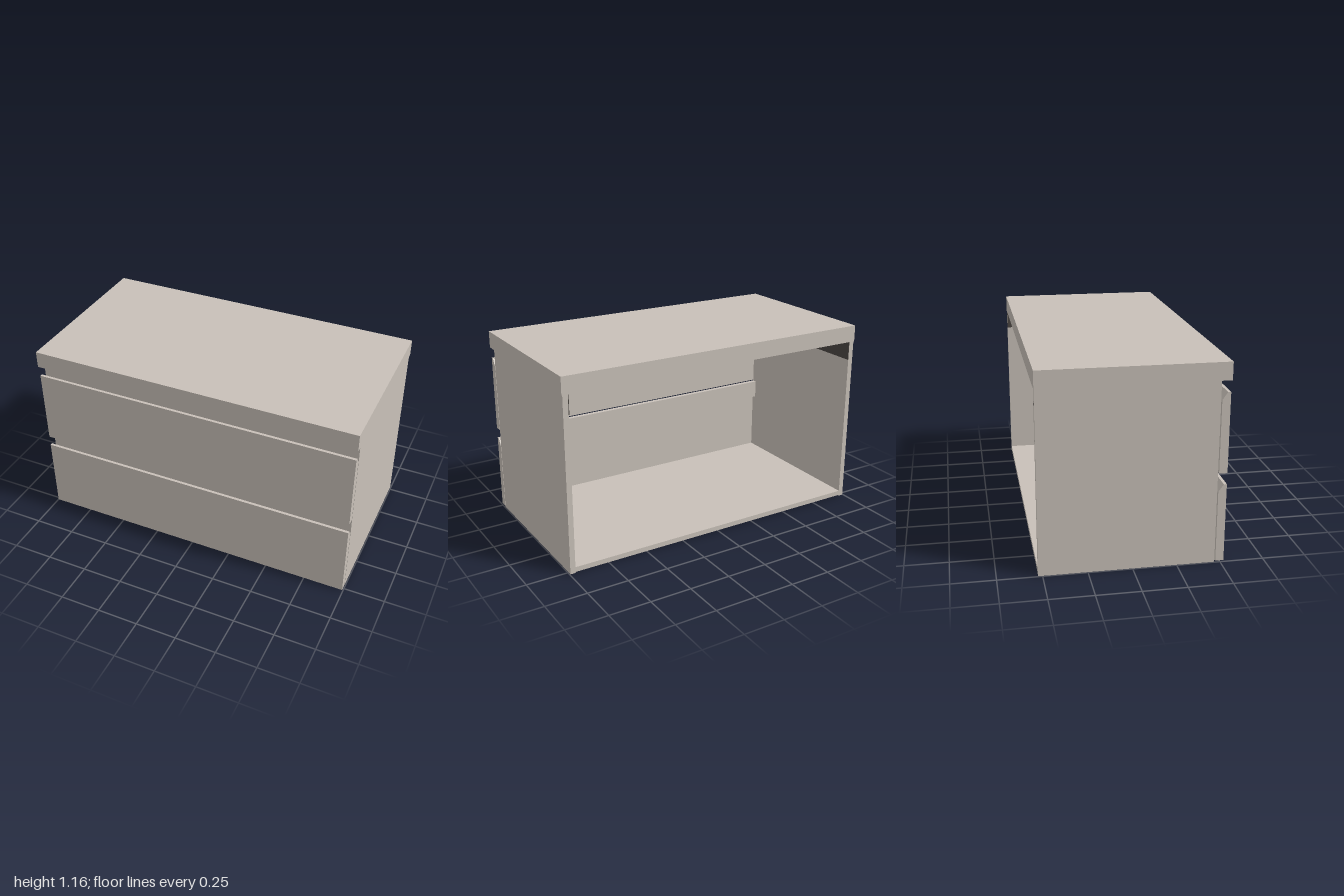
import * as THREE from 'three';

export function createModel() {
  const group = new THREE.Group();
  const beige = new THREE.MeshStandardMaterial({ color: 0xc8c0b8 });
  beige.name = 'beige lacquer';
  const dark = new THREE.MeshStandardMaterial({ color: 0x4a4541 });
  dark.name = 'dark runner';

  // Box given by its minimum and maximum corners
  function box(name, [x0, y0, z0], [x1, y1, z1], material = beige) {
    const mesh = new THREE.Mesh(new THREE.BoxGeometry(x1 - x0, y1 - y0, z1 - z0), material);
    mesh.position.set((x0 + x1) / 2, (y0 + y1) / 2, (z0 + z1) / 2);
    mesh.name = name;
    group.add(mesh);
  }

  const outer = 0.995, inner = 0.963, back = -0.524, front = 0.468, top = 1.06;

  // Worktop overhanging the front
  box('worktop', [-1, top, -0.525], [1, 1.162, 0.525]);

  // Open-backed carcass
  box('leftSide', [inner, 0, back], [outer, top, front]);
  box('rightSide', [-outer, 0, back], [-inner, top, front]);
  box('bottomPanel', [-inner, 0.006, back], [inner, 0.036, front]);

  // Rails behind the finger gaps
  box('topRail', [-inner, 0.945, 0.438], [inner, top, front]);
  box('middleRail', [-inner, 0.415, 0.438], [inner, 0.53, front]);

  // Dark strips along the tops of the inner walls
  box('leftStrip', [inner - 0.004, 0.945, back], [inner, top, 0.438], dark);
  box('rightStrip', [-inner, 0.945, back], [-inner + 0.004, top, 0.438], dark);

  // Drawer fronts with a bevelled finger grip at the top rear
  const height = 0.462, zBack = 0.474, zFront = 0.521;
  const profile = new THREE.Shape([
    [-zBack, 0], [-zBack, height - 0.043], [-0.504, height], [-zFront, height], [-zFront, 0],
  ].map(([x, y]) => new THREE.Vector2(x, y)));
  const frontGeometry = new THREE.ExtrudeGeometry(profile, { depth: 2 * outer, bevelEnabled: false });
  frontGeometry.translate(0, 0, -outer);
  frontGeometry.rotateY(Math.PI / 2); // extrusion along x, profile -x becomes +z
  [['lowerDrawerFront', 0.006], ['upperDrawerFront', 0.533]].forEach(([name, y]) => {
    const mesh = new THREE.Mesh(frontGeometry, beige);
    mesh.position.y = y;
    mesh.name = name;
    group.add(mesh);
  });

  return group;
}
